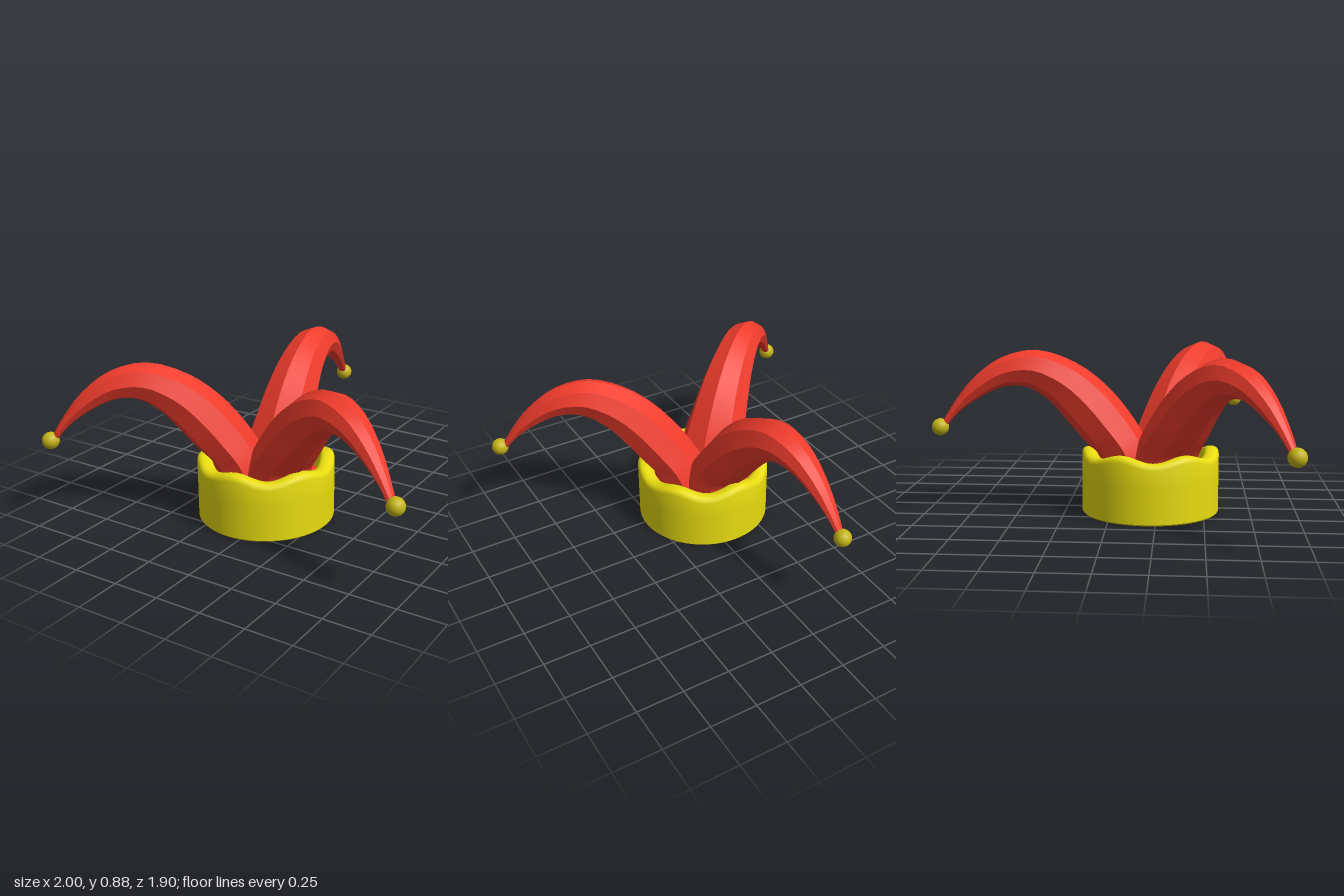
import * as THREE from 'three';
import { toCreasedNormals } from 'three/addons/utils/BufferGeometryUtils.js';

const CENTRE = new THREE.Vector3(-0.065, 0, 0.21);
const rad = THREE.MathUtils.degToRad;

const red = new THREE.MeshStandardMaterial({ color: 0xf03c2c, side: THREE.DoubleSide });
const yellow = new THREE.MeshStandardMaterial({ color: 0xe8dc10 });
const gold = new THREE.MeshStandardMaterial({ color: 0xc4b418 });

function addMesh(parent, name, geometry, material) {
  const mesh = new THREE.Mesh(geometry, material);
  mesh.name = name;
  parent.add(mesh);
  return mesh;
}

// Thick head band whose rounded top edge rises and falls in six waves
function bandGeometry() {
  const profile = [
    [0.288, 0.006], [0.294, 0], [0.362, 0], [0.37, 0.008], [0.37, 0.1], [0.37, 0.2], [0.37, 0.306],
    [0.366, 0.322], [0.355, 0.332], [0.34, 0.336], [0.318, 0.336], [0.303, 0.332], [0.292, 0.322],
    [0.288, 0.306], [0.288, 0.2], [0.288, 0.1], [0.288, 0.006],
  ].map(([r, y]) => new THREE.Vector2(r, y));
  const geometry = new THREE.LatheGeometry(profile, 96);
  const pos = geometry.attributes.position;
  for (let i = 0; i < pos.count; i++) {
    const y = pos.getY(i);
    const phi = Math.atan2(pos.getX(i), pos.getZ(i));
    const lift = THREE.MathUtils.smoothstep(y, 0.15, 0.32);
    pos.setY(i, y + 0.017 * lift * Math.cos(6 * (phi - rad(5))));
  }
  return toCreasedNormals(geometry, 0.7);
}

// Eight-sided horn arching along +x, lofted between an upper and a lower ridge
function hornGeometry() {
  // upper x, upper y, lower x, lower y, half width
  const stations = [
    [-0.05, 0.26, 0.27, 0.24, 0.19],
    [0.03, 0.41, 0.29, 0.31, 0.185],
    [0.12, 0.55, 0.37, 0.40, 0.168],
    [0.24, 0.69, 0.46, 0.51, 0.148],
    [0.40, 0.81, 0.55, 0.61, 0.127],
    [0.61, 0.88, 0.66, 0.68, 0.106],
    [0.80, 0.84, 0.78, 0.685, 0.084],
    [0.95, 0.73, 0.90, 0.635, 0.06],
    [1.06, 0.59, 1.02, 0.555, 0.036],
    [1.13, 0.475, 1.105, 0.46, 0.018],
  ];
  const upper = new THREE.CatmullRomCurve3(stations.map((s) => new THREE.Vector3(s[0], s[1], s[4])));
  const lower = new THREE.CatmullRomCurve3(stations.map((s) => new THREE.Vector3(s[2], s[3], s[4])));
  const rings = 27, sides = 8;
  const positions = [], index = [];
  for (let i = 0; i <= rings; i++) {
    const u = upper.getPoint(i / rings);
    const l = lower.getPoint(i / rings);
    for (let k = 0; k < sides; k++) {
      const t = (k / sides) * Math.PI * 2;
      const c = Math.cos(t) / 2;
      positions.push(
        (u.x + l.x) / 2 + (u.x - l.x) * c,
        (u.y + l.y) / 2 + (u.y - l.y) * c,
        u.z * Math.sin(t)
      );
      if (i < rings) {
        const a = i * sides + k, b = i * sides + ((k + 1) % sides);
        index.push(a, b, a + sides, b, b + sides, a + sides);
      }
    }
  }
  const geometry = new THREE.BufferGeometry();
  geometry.setAttribute('position', new THREE.Float32BufferAttribute(positions, 3));
  geometry.setIndex(index);
  return toCreasedNormals(geometry, 0.5);
}

export function createModel() {
  const hat = new THREE.Group();
  hat.name = 'jesterHat';

  const body = new THREE.Group();
  body.name = 'hatBody';
  body.position.copy(CENTRE);
  hat.add(body);

  addMesh(body, 'headBand', bandGeometry(), yellow);

  // Shallow cloth crown closing the band between the horns
  const crown = addMesh(body, 'crown', new THREE.CylinderGeometry(0.2, 0.279, 0.06, 48), red);
  crown.position.y = 0.265;

  // Three horns, each with a bell at its tip
  const horn = hornGeometry();
  const bell = new THREE.SphereGeometry(0.046, 24, 16);
  const horns = [['left', 25.8, 0.488], ['right', 142, 0.47], ['back', 262.6, 0.47]];
  for (const [side, angle, bellHeight] of horns) {
    const arm = new THREE.Group();
    arm.name = side + 'Arm';
    arm.rotation.y = -rad(angle);
    addMesh(arm, side + 'Horn', horn, red);
    addMesh(arm, side + 'Bell', bell, gold).position.set(1.128, bellHeight, 0);
    body.add(arm);
  }
  return hat;
}
